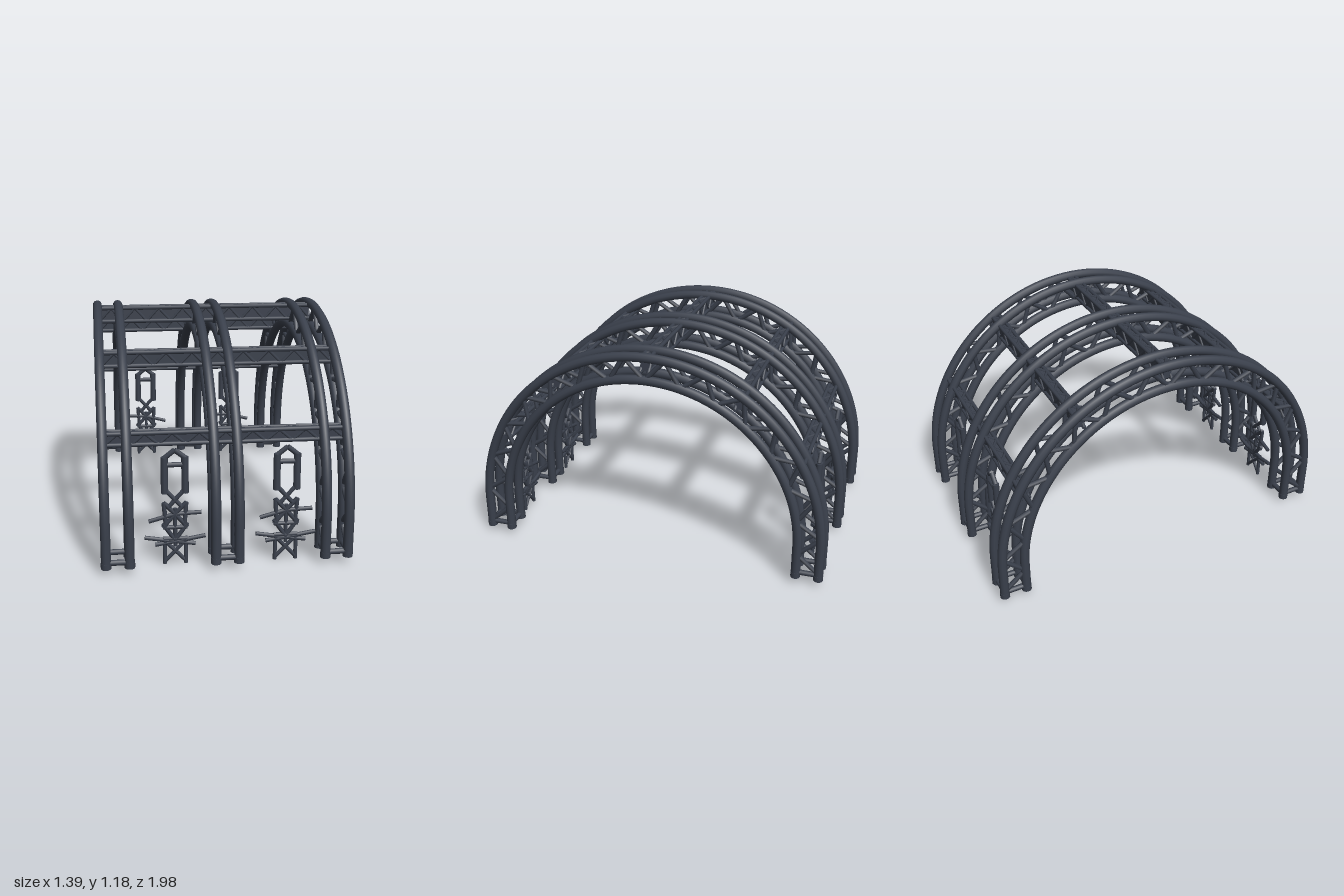
import * as THREE from 'three';

const steel = new THREE.MeshStandardMaterial({ color: 0x3a404c });
steel.name = 'dark steel';

const ARCH_TURN = 0.076, BEAM_TURN = 0.056;
const OUTER = 0.94, INNER = 0.82, SPRING = 0.22, FOOT = 0.042, HALF = 0.057;

const V = (x, y, z) => new THREE.Vector3(x, y, z);

// Round bar between two points
function bar(group, name, a, b, r, sides = 8) {
  const d = b.clone().sub(a);
  const mesh = new THREE.Mesh(new THREE.CylinderGeometry(r, r, d.length(), sides), steel);
  mesh.name = name;
  mesh.position.copy(a).add(b).multiplyScalar(0.5);
  mesh.quaternion.setFromUnitVectors(V(0, 1, 0), d.normalize());
  group.add(mesh);
}

// Point along the arch: straight legs, then a half circle; t runs 0..1 front to back
function archPoint(x, R, t) {
  const leg = SPRING - FOOT, arc = Math.PI * 0.88, s = t * (2 * leg + arc);
  if (s < leg) return V(x, FOOT + s, R);
  if (s > leg + arc) return V(x, FOOT + 2 * leg + arc - s, -R);
  const a = (s - leg) / 0.88;
  return V(x, SPRING + R * Math.sin(a), R * Math.cos(a));
}

function makeArch() {
  const arch = new THREE.Group();
  arch.name = 'trussArch';
  for (const x of [-HALF, HALF]) {
    // Main tubes
    for (const R of [OUTER, INNER]) {
      const pts = [];
      for (let i = 0; i <= 60; i++) pts.push(archPoint(x, R, i / 60));
      const tube = new THREE.Mesh(
        new THREE.TubeGeometry(new THREE.CatmullRomCurve3(pts), 96, 0.025, 10), steel);
      tube.name = 'archTube';
      arch.add(tube);
      for (const z of [-R, R]) bar(arch, 'tubeFoot', V(x, FOOT, z), V(x, FOOT + 0.03, z), 0.026, 12);
    }
    // Zigzag lacing between outer and inner tube
    const n = 30;
    for (let i = 0; i < n; i++) {
      const R = i % 2 ? [INNER, OUTER] : [OUTER, INNER];
      const t = (k) => 0.01 + 0.98 * k / n;
      bar(arch, 'archLacing', archPoint(x, R[0], t(i)), archPoint(x, R[1], t(i + 1)), 0.013, 6);
    }
    for (const s of [-1, 1])
      bar(arch, 'footSpacer', V(x, 0.07, s * INNER), V(x, 0.07, s * OUTER), 0.014);
  }
  // Cross ties at the feet
  for (const z of [-OUTER, -INNER, INNER, OUTER])
    bar(arch, 'footTie', V(-HALF, 0.07, z), V(HALF, 0.07, z), 0.015);
  return arch;
}

function makeBeam(height) {
  const beam = new THREE.Group();
  beam.name = 'crossBeam';
  const L = 0.59, r = 0.011, h = height / 2 - r, w = 0.033 - r, n = 18;
  const core = new THREE.Mesh(new THREE.BoxGeometry(2 * L - 0.02, 2 * h, 2 * w), steel);
  core.name = 'beamCore';
  beam.add(core);
  // Corner rails
  for (const y of [-h, h]) for (const z of [-w, w])
    bar(beam, 'beamRail', V(-L, y, z), V(L, y, z), r);
  // Diagonals on all four faces
  for (let i = 0; i < n; i++) {
    const s = i % 2 ? 1 : -1;
    const x0 = -L + 2 * L * i / n, x1 = -L + 2 * L * (i + 1) / n;
    for (const e of [-1, 1]) {
      bar(beam, 'beamLacing', V(x0, s * h, e * w), V(x1, -s * h, e * w), 0.008, 6);
      bar(beam, 'beamLacing', V(x0, e * h, s * w), V(x1, e * h, -s * w), 0.008, 6);
    }
  }
  return beam;
}

function makeHanger() {
  const hanger = new THREE.Group();
  hanger.name = 'hangingLattice';
  const link = (x0, y0, x1, y1, r = 0.011) =>
    bar(hanger, 'latticeBar', V(x0, y0, 0), V(x1, y1, 0), r);
  for (const s of [-1, 1]) {
    // Clamp with peaked top
    bar(hanger, 'clampSide', V(s * 0.05, 0.565, 0), V(s * 0.05, 0.38, 0), 0.018);
    link(s * 0.05, 0.56, 0, 0.6, 0.013);
    // Neck and upper star
    link(s * 0.05, 0.4, -s * 0.03, 0.31);
    link(s * 0.055, 0.33, 0, 0.27);
    link(0, 0.27, s * 0.13, 0.255 + s * 0.02);
    link(s * 0.055, 0.33, s * 0.045, 0.2);
    link(0, 0.27, -s * 0.06, 0.2);
    // Lower star
    link(s * 0.06, 0.22, 0, 0.13);
    link(0, 0.125, s * 0.15, 0.15);
    link(0, 0.125, s * 0.1, 0.11);
    // Lower braced frame
    link(s * 0.052, 0.14, s * 0.052, 0.008, 0.01);
    link(s * 0.052, 0.13, -s * 0.052, 0.02, 0.01);
  }
  link(-0.05, 0.525, 0.05, 0.525, 0.013);
  link(-0.06, 0.2, 0.06, 0.2);
  link(-0.06, 0.14, 0.06, 0.14);
  link(0, 0.3, 0, 0.1, 0.01);
  return hanger;
}

export function createModel() {
  const model = new THREE.Group();
  model.name = 'trussTunnel';

  // Three arches
  for (const [x, z, depth] of [[-0.54, 0.02, 1], [-0.007, -0.012, 0.998], [0.538, -0.042, 0.985]]) {
    const arch = makeArch();
    arch.position.set(x, 0, z);
    arch.rotation.y = ARCH_TURN;
    arch.scale.z = depth;
    model.add(arch);
  }

  // Five beams running across the arches
  for (const [u, y, h] of [[-0.785, 0.648, 0.078], [-0.482, 0.972, 0.09], [0, 1.117, 0.095],
    [0.482, 0.972, 0.09], [0.785, 0.648, 0.078]]) {
    const beam = makeBeam(h);
    beam.position.set(u * Math.sin(ARCH_TURN), y, -0.013 + u);
    beam.rotation.y = BEAM_TURN;
    model.add(beam);
  }

  // Four lattices hanging between the legs
  for (const [x, z] of [[-0.36, -0.85], [0.2, -0.875], [-0.19, 0.845], [0.36, 0.82]]) {
    const hanger = makeHanger();
    hanger.position.set(x, 0, z);
    hanger.rotation.y = BEAM_TURN + (z > 0 ? 0 : Math.PI);
    model.add(hanger);
  }
  return model;
}
